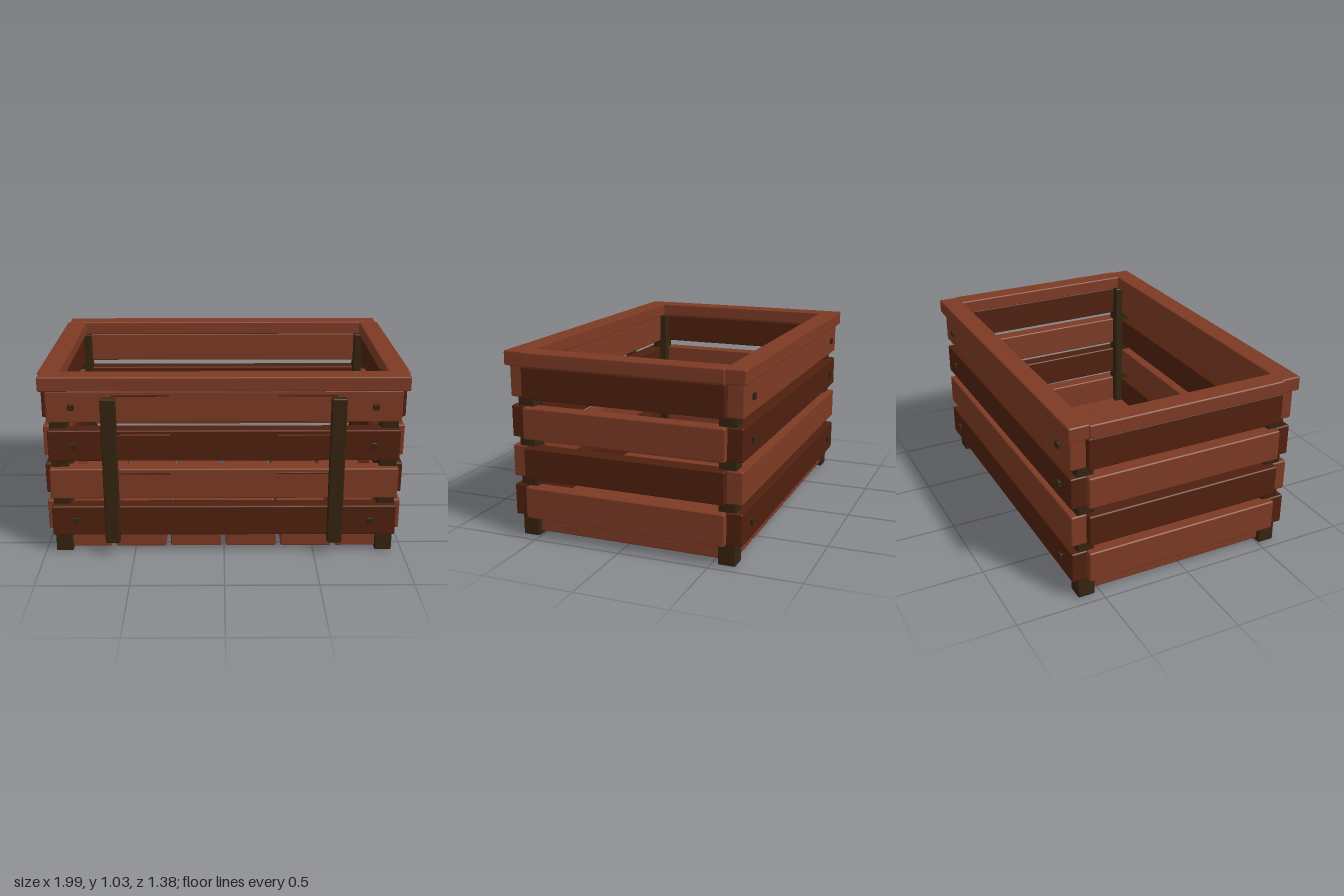
import * as THREE from 'three';
import { RoundedBoxGeometry } from 'three/addons/geometries/RoundedBoxGeometry.js';

const material = (name, color) => {
  const m = new THREE.MeshStandardMaterial({ color });
  m.name = name;
  return m;
};

export function createModel() {
  const lightWood = material('light wood', 0x7c3a24);
  const darkWood = material('dark wood', 0x4f200e);
  const postWood = material('post wood', 0x35230f);
  const model = new THREE.Group();
  model.name = 'crate';

  // Board with chamfered edges, given by its extents on each axis
  function board(name, mat, [x0, x1], [y0, y1], [z0, z1], bevel = 0.008) {
    const geometry = new RoundedBoxGeometry(x1 - x0, y1 - y0, z1 - z0, 1, bevel);
    const mesh = new THREE.Mesh(geometry, mat);
    mesh.name = name;
    mesh.position.set((x0 + x1) / 2, (y0 + y1) / 2, (z0 + z1) / 2);
    model.add(mesh);
  }
  const mirrored = (side, a, b) => (side > 0 ? [a, b] : [-b, -a]);

  // Walls: four rows of slats, the two wood tones alternating around the corners
  for (let row = 0; row < 4; row++) {
    const y = [0.115 + row * 0.2217, 0.29 + row * 0.2217];
    const longMat = row % 2 ? lightWood : darkWood;
    const shortMat = row % 2 ? darkWood : lightWood;
    board('frontSlat', longMat, [-0.95, 0.95], y, [0.55, 0.64]);
    board('backSlat', longMat, [-0.95, 0.95], y, [-0.667, -0.577]);
    for (const s of [-1, 1]) {
      board('sideSlat', shortMat, mirrored(s, 0.895, 0.985), y, [-0.582, 0.555]);
      // Thin crack along the upper edge of each front slat
      if (row > 0) {
        board('slatCrack', row % 2 ? darkWood : lightWood, mirrored(s, 0.29, 0.6),
          [y[1] - 0.03, y[1] - 0.022], [0.638, 0.642], 0.001);
      }
    }
  }

  // Rim
  const rimY = [0.955, 1.035];
  board('frontRim', lightWood, [-0.985, 0.985], rimY, [0.533, 0.653]);
  board('backRim', lightWood, [-0.985, 0.985], rimY, [-0.688, -0.57]);
  for (const s of [-1, 1]) {
    board('sideRim', lightWood, mirrored(s, 0.88, 0.997), [0.956, 1.034], [-0.582, 0.547]);
  }

  // Floor
  for (let i = 0; i < 6; i++) {
    const x = (i - 2.5) * 0.309 - 0.003;
    board('floorPlank', lightWood, [x - 0.142, x + 0.142], [0.02, 0.12], [-0.615, 0.585]);
  }

  for (const s of [-1, 1]) {
    // Corner posts, also the feet
    const postX = mirrored(s, 0.848, 0.943);
    board('frontPost', postWood, postX, [0, 0.96], [0.505, 0.602]);
    board('backPost', postWood, postX, [0, 0.96], [-0.63, -0.534]);
    // Upright braces on the front
    const braceX = s * 0.611 - 0.003;
    board('frontBrace', postWood, [braceX - 0.041, braceX + 0.041], [0.088, 0.925], [0.643, 0.688]);
    // Square pegs
    for (const y of [0.205, 0.645, 0.867]) {
      const x = s * 0.81 - 0.003;
      for (const z of [[0.62, 0.652], [-0.681, -0.65]]) {
        board('peg', postWood, [x - 0.017, x + 0.017], [y - 0.017, y + 0.017], z, 0.003);
      }
    }
  }
  return model;
}
